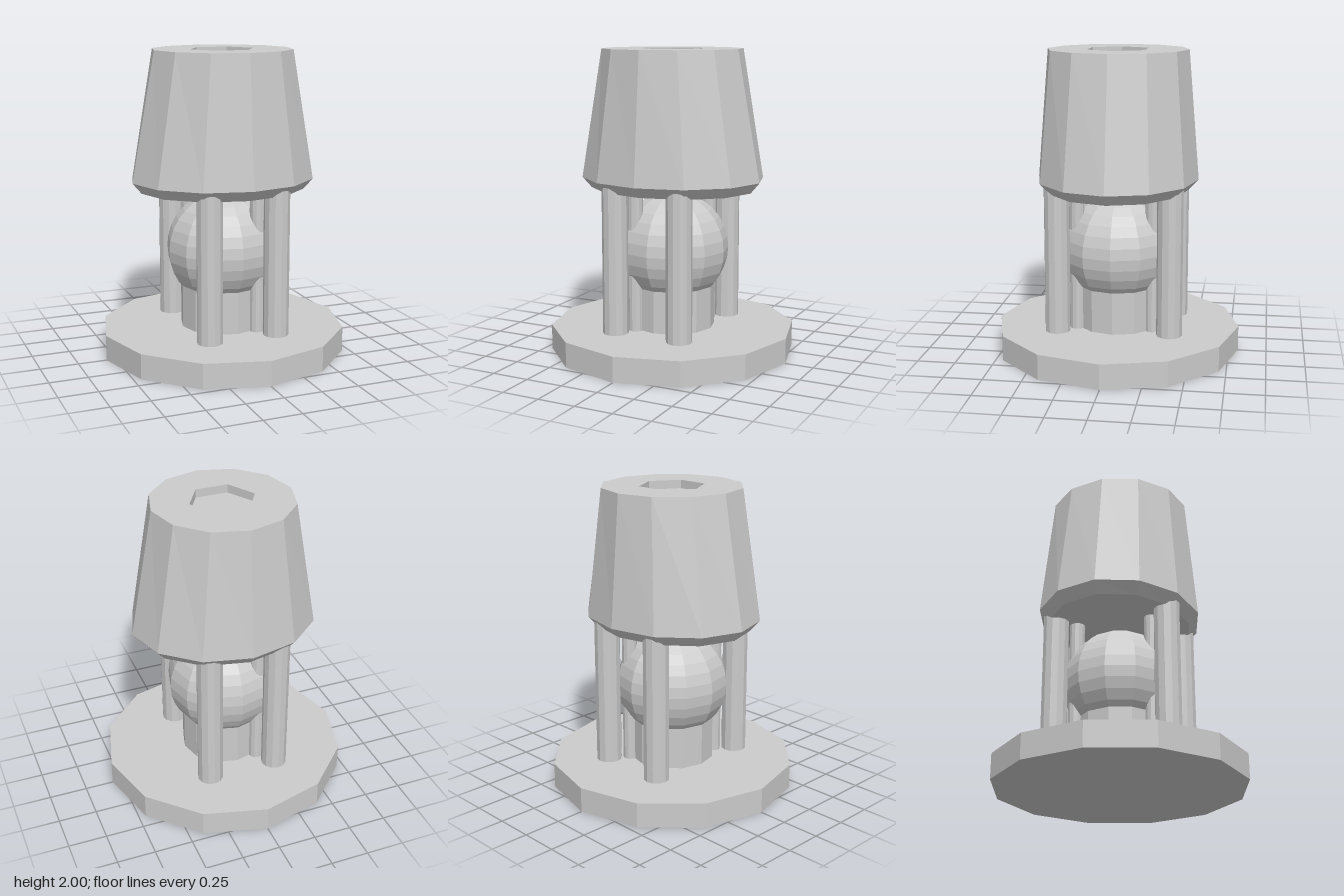
import * as THREE from 'three';

export function createModel() {
  const model = new THREE.Group();
  const material = new THREE.MeshStandardMaterial({ color: 0xcccccc, flatShading: true });

  function add(name, geometry, x = 0, y = 0, z = 0, parent = model) {
    const flat = geometry.index ? geometry.toNonIndexed() : geometry;
    flat.computeVertexNormals();
    const mesh = new THREE.Mesh(flat, material);
    mesh.name = name;
    mesh.position.set(x, y, z);
    parent.add(mesh);
    return mesh;
  }

  // Upright cylinder given by its bottom and top heights
  function column(name, radius, bottom, top, sides, x = 0, z = 0, parent = model) {
    add(name, new THREE.CylinderGeometry(radius, radius, top - bottom, sides), x, (bottom + top) / 2, z, parent);
  }

  const ring = (radius, sides) => Array.from({ length: sides }, (_, i) => {
    const a = (i / sides) * Math.PI * 2;
    return new THREE.Vector2(radius * Math.cos(a), radius * Math.sin(a));
  });

  // Base, pedestal and ball
  column('base', 0.812, 0, 0.165, 12);
  column('pedestal', 0.28, 0.165, 0.46, 12);
  add('ball', new THREE.SphereGeometry(0.372, 12, 16), 0, 0.688, 0);

  // Four thick outer posts, each with a thin post inside it
  for (const sx of [-1, 1]) {
    for (const sz of [-1, 1]) {
      const posts = new THREE.Group();
      posts.name = `${sz > 0 ? 'front' : 'back'}${sx > 0 ? 'Left' : 'Right'}Posts`;
      column('outerPost', 0.084, 0.165, 1.16, 12, sx * 0.23, sz * 0.368, posts);
      column('innerPost', 0.05, 0.165, 1.12, 12, sx * 0.146, sz * 0.25, posts);
      model.add(posts);
    }
  }

  // Shade: oval at the rim, round at the top
  const shade = new THREE.Group();
  shade.name = 'shade';
  model.add(shade);
  const profile = [[0, 1.09], [0.555, 1.09], [0.615, 1.16], [0.46, 2]].map(p => new THREE.Vector2(...p));
  const body = new THREE.LatheGeometry(profile, 12);
  const pos = body.attributes.position;
  for (let i = 0; i < pos.count; i++) {
    const y = pos.getY(i);
    const squash = y > 1.9 ? 1 : y > 1.12 ? 0.863 : 0.84;
    pos.setZ(i, pos.getZ(i) * squash);
  }
  add('shadeBody', body, 0, 0, 0, shade);

  // Top with a six-sided recess
  const top = new THREE.Shape(ring(0.46, 12));
  top.holes.push(new THREE.Path(ring(0.214, 6)));
  add('shadeTop', new THREE.ShapeGeometry(top).rotateX(-Math.PI / 2), 0, 2, 0, shade);
  const recess = [[0.214, 2], [0.214, 1.945], [0, 1.945]].map(p => new THREE.Vector2(...p));
  add('topRecess', new THREE.LatheGeometry(recess, 6, Math.PI / 2), 0, 0, 0, shade);

  return model;
}
